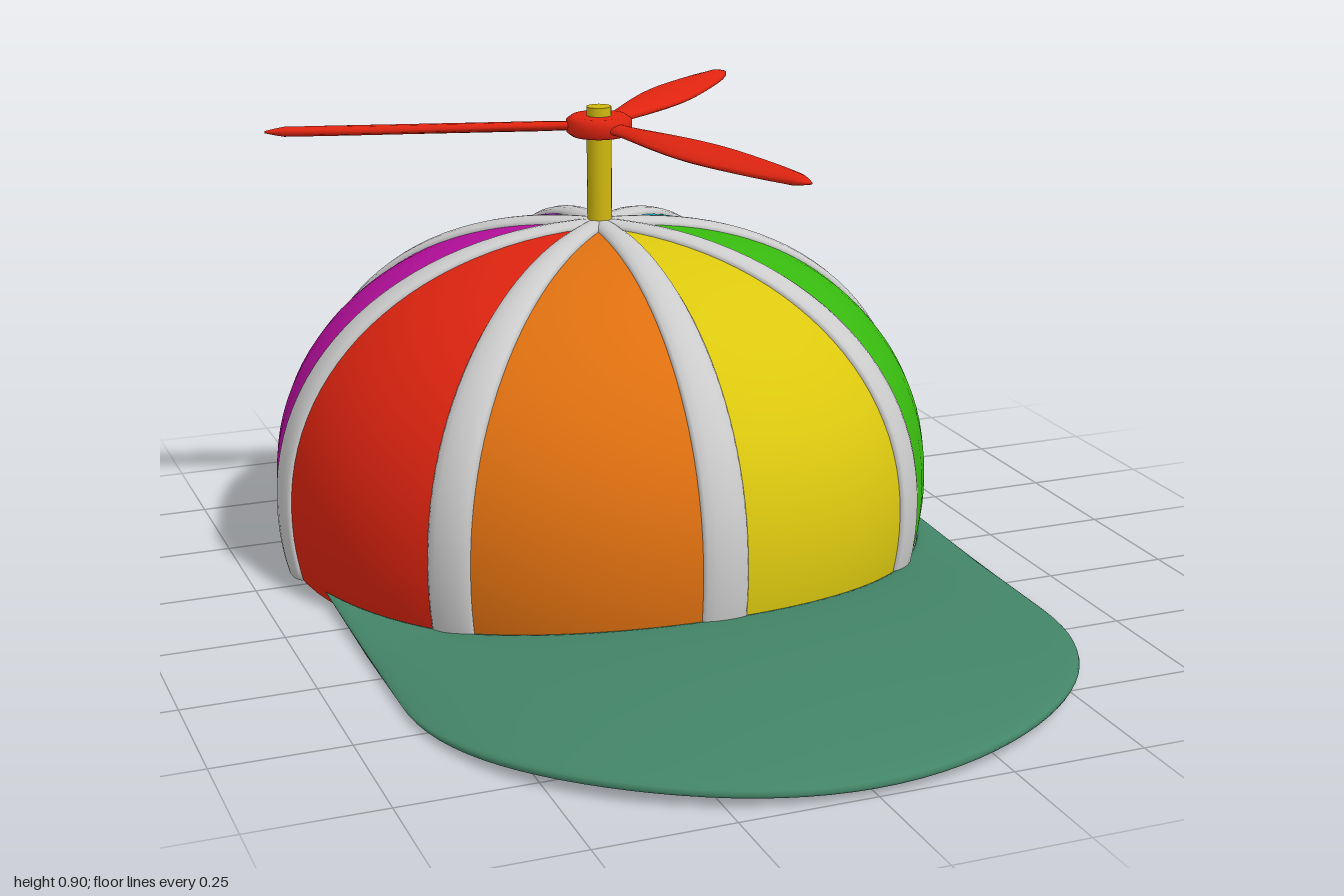
import * as THREE from 'three';

const CENTER_Z = -0.315; // crown axis
const HUB_Y = 0.876;

const paint = (color) => new THREE.MeshStandardMaterial({ color, side: THREE.DoubleSide });

function add(parent, name, geometry, material) {
  const mesh = new THREE.Mesh(geometry, material);
  mesh.name = name;
  parent.add(mesh);
  return mesh;
}

// Smooth skin over rows of closed loops; both ends are capped at their centroid
function loft(rows) {
  const mid = (row) => {
    const c = row.reduce((s, p) => s.add(p), new THREE.Vector3()).divideScalar(row.length);
    return row.map(() => c);
  };
  const all = [mid(rows[0]), ...rows, mid(rows[rows.length - 1])];
  const n = rows[0].length;
  const index = [];
  for (let i = 0; i < all.length - 1; i++) {
    for (let j = 0; j < n; j++) {
      const k = (j + 1) % n;
      const a = i * n + j, b = i * n + k, c = a + n, d = b + n;
      index.push(a, c, b, b, c, d);
    }
  }
  const g = new THREE.BufferGeometry().setFromPoints(all.flat());
  g.setIndex(index);
  g.computeVertexNormals();
  return g;
}

// Crown profile, from the hem (t = 0) to the top (t = 1): x is radius
const R = 0.669, WAIST = 0.15, TOP = 0.672, HEM = 0.01;
function crownPoint(t) {
  if (t < 0.15) {
    const s = 1 - t / 0.15;
    return new THREE.Vector2(R - 0.018 * s * s, WAIST + (HEM - WAIST) * s);
  }
  const a = ((t - 0.15) / 0.85) * Math.PI / 2;
  const e = 2 / 2.15;
  return new THREE.Vector2(
    R * Math.pow(Math.max(0, Math.cos(a)), e),
    WAIST + (TOP - WAIST) * Math.pow(Math.sin(a), e));
}

// Rounded seam tape following the crown profile, in the plane x = 0
function ribGeometry() {
  const rows = [];
  const steps = 32, sides = 12;
  for (let i = 0; i <= steps; i++) {
    const t = i / steps;
    const p = crownPoint(t);
    const tangent = crownPoint(Math.min(1, t + 0.01)).sub(crownPoint(Math.max(0, t - 0.01))).normalize();
    const half = 0.02 + 0.025 * Math.pow(p.x / R, 0.8);
    const row = [];
    for (let j = 0; j < sides; j++) {
      const a = (j / sides) * Math.PI * 2;
      const lift = 0.014 * Math.sin(a);
      row.push(new THREE.Vector3(half * Math.cos(a), p.y - tangent.x * lift, p.x + tangent.y * lift));
    }
    rows.push(row);
  }
  for (const row of rows) for (const v of row) v.y = Math.max(v.y, HEM);
  return loft(rows);
}

// Arched visor: sections run from the crown to the outer rim, swept across x
function brimGeometry() {
  const rows = [];
  const across = 48, deep = 20, W = 0.635;
  for (let i = 0; i <= across; i++) {
    const u = Math.sin((i / across - 0.5) * Math.PI * 0.998);
    const x = W * u;
    const inner = CENTER_Z + Math.sqrt(0.657 ** 2 - x * x);
    const outer = 0.4 + 0.6 * Math.sqrt(1 - u * u);
    const row = [];
    for (let j = 0; j < deep * 2; j++) {
      const a = (j / (deep * 2)) * Math.PI * 2;
      const v = 0.5 - 0.5 * Math.cos(a);
      const z = inner + (outer - inner) * v;
      const arch = z > 0.55 ? 1 - 0.8 * ((z - 0.55) / 0.45) ** 2 : 1 - 0.5 * Math.min(1, (0.55 - z) / 0.4) ** 2;
      const thick = 0.016 * Math.sign(Math.sin(a)) * Math.pow(Math.abs(Math.sin(a)), 0.5) * Math.pow(1 - u ** 8, 0.4);
      const edge = 0.012 * Math.max(0, Math.min(1, (z + 0.15) / -0.3 + 1));
      row.push(new THREE.Vector3(x, 0.019 + edge + 0.05 * (1 - u * u) * arch + thick, z));
    }
    rows.push(row);
  }
  return loft(rows);
}

// Slim twisted propeller blade pointing along +x
function bladeGeometry() {
  const rows = [];
  const steps = 24, sides = 12, length = 0.662;
  const widths = new THREE.SplineCurve([
    [0.03, 0.018], [0.15, 0.02], [0.3, 0.034], [0.45, 0.045], [0.6, 0.047],
    [0.8, 0.036], [0.93, 0.022], [1, 0.004],
  ].map(([x, y]) => new THREE.Vector2(x, y)));
  for (let i = 0; i <= steps; i++) {
    const p = widths.getPoint(i / steps);
    const twist = 0.22 * (1 - p.x * 0.6);
    const h = 0.01 * Math.min(1, p.y / 0.02);
    const row = [];
    for (let j = 0; j < sides; j++) {
      const a = (j / sides) * Math.PI * 2;
      const z = p.y * Math.cos(a), y = h * Math.sin(a);
      row.push(new THREE.Vector3(p.x * length,
        y * Math.cos(twist) - z * Math.sin(twist),
        y * Math.sin(twist) + z * Math.cos(twist)));
    }
    rows.push(row);
  }
  return loft(rows);
}

export function createModel() {
  const model = new THREE.Group();
  model.name = 'propellerCap';

  // Crown: eight coloured panels, anticlockwise from the front
  const crown = new THREE.Group();
  crown.name = 'crown';
  crown.position.z = CENTER_Z;
  model.add(crown);
  const profile = Array.from({ length: 33 }, (_, i) => crownPoint(i / 32));
  const colors = [0xdcc80f, 0x38b90f, 0x0fadbc, 0x0f38bc, 0x930fc4, 0xb80f9e, 0xdf2410, 0xdf7010];
  const ribShape = ribGeometry();
  const white = paint(0xcccccc);
  colors.forEach((color, i) => {
    const angle = (i * Math.PI) / 4;
    add(crown, 'panel', new THREE.LatheGeometry(profile, 8, angle, Math.PI / 4), paint(color));
    add(crown, 'seamRib', ribShape, white).rotation.y = angle;
  });

  // Visor
  add(model, 'brim', brimGeometry(), paint(0x438468));

  // Propeller on its post
  const propeller = new THREE.Group();
  propeller.name = 'propeller';
  propeller.position.set(0, HUB_Y, CENTER_Z);
  model.add(propeller);
  const red = paint(0xdf2410);
  add(propeller, 'post', new THREE.CylinderGeometry(0.025, 0.025, 0.26, 20), paint(0xd0b810)).position.y = -0.092;
  const hubProfile = [[0.02, -0.02], [0.055, -0.02], [0.066, -0.012], [0.066, 0.012], [0.055, 0.02], [0.02, 0.02]];
  add(propeller, 'hub', new THREE.LatheGeometry(hubProfile.map(([x, y]) => new THREE.Vector2(x, y)), 28), red);
  const bladeShape = bladeGeometry();
  for (let i = 0; i < 3; i++) {
    add(propeller, 'blade', bladeShape, red).rotation.y = THREE.MathUtils.degToRad(45 + i * 120);
  }
  return model;
}
